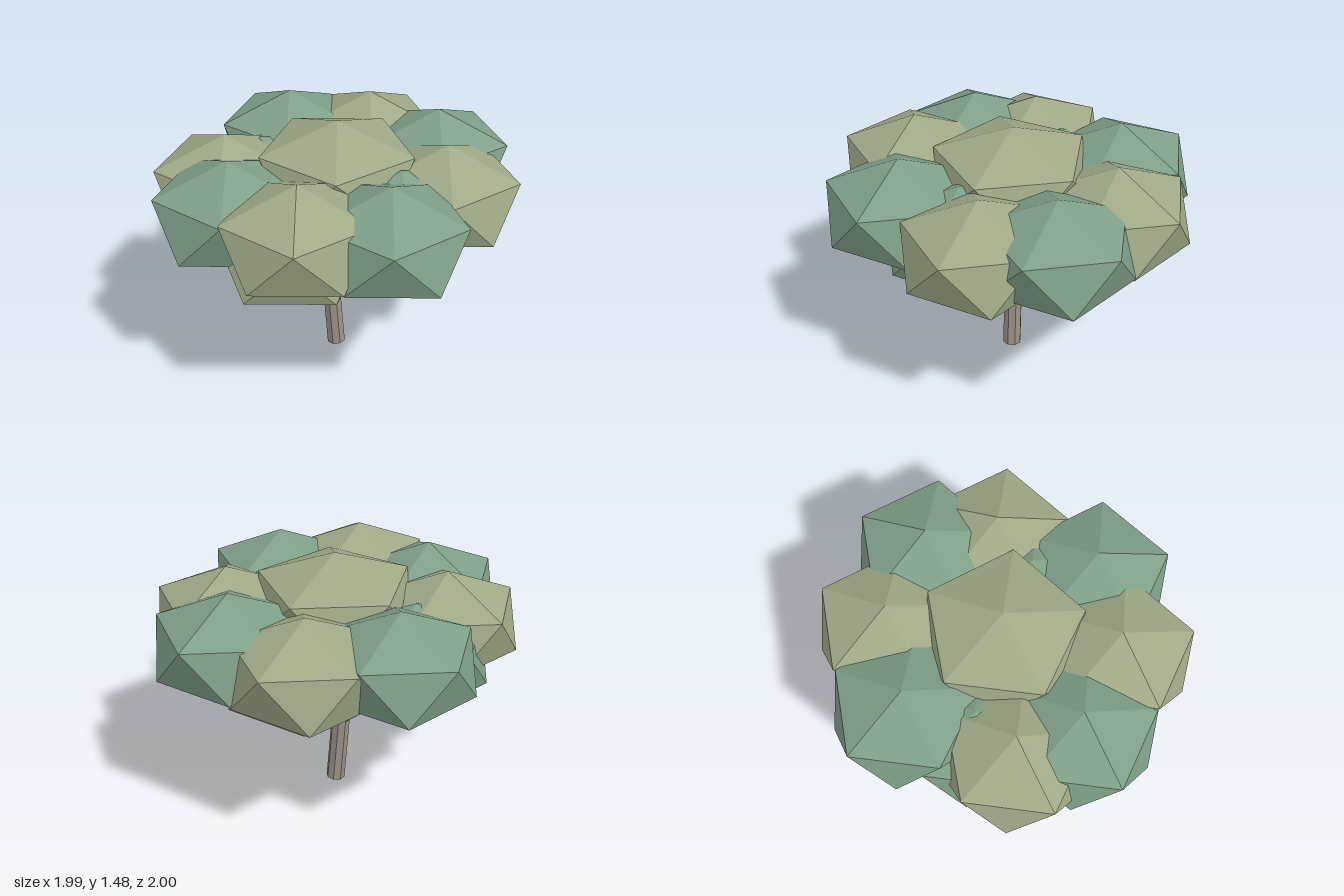
import * as THREE from 'three';

const material = (color) => new THREE.MeshStandardMaterial({ color, flatShading: true });

// Icosahedron standing on a corner, with an upper-ring corner towards +x
function leafGeometry() {
  const g = new THREE.IcosahedronGeometry(1, 0);
  g.rotateX(-Math.atan((1 + Math.sqrt(5)) / 2));
  g.rotateY(Math.PI / 2);
  return g;
}

// Eight-sided tapered limb between two points
function limb(name, from, to, r0, r1, mat) {
  const a = new THREE.Vector3(...from), b = new THREE.Vector3(...to);
  const dir = b.clone().sub(a);
  const mesh = new THREE.Mesh(new THREE.CylinderGeometry(r1, r0, dir.length(), 8), mat);
  mesh.position.copy(a).add(b).multiplyScalar(0.5);
  mesh.quaternion.setFromUnitVectors(new THREE.Vector3(0, 1, 0), dir.normalize());
  mesh.name = name;
  return mesh;
}

export function createModel() {
  const tree = new THREE.Group();
  tree.name = 'tree';
  const bark = material(0x9a9186);
  const olive = material(0x9fa987);
  const green = material(0x7f9f88);

  // Leaning trunk
  tree.add(limb('trunk', [-0.003, 0.004, 0], [-0.035, 0.445, 0.005], 0.056, 0.054, bark));

  // Four branches, each bent once: elbow, then tip
  const branches = [
    ['frontBranch', [0, 0.62, 0.22], [0, 0.78, 0.3]],
    ['backBranch', [-0.03, 0.64, -0.21], [-0.02, 0.8, -0.28]],
    ['rightBranch', [-0.24, 0.61, -0.07], [-0.33, 0.79, -0.04]],
    ['leftBranch', [0.1, 0.66, 0.12], [0.22, 0.8, 0.13]],
  ];
  for (const [name, elbow, tip] of branches) {
    const branch = new THREE.Group();
    branch.name = name;
    branch.add(
      limb('lowerBranch', [-0.032, 0.42, 0.004], elbow, 0.036, 0.034, bark),
      limb('upperBranch', elbow, tip, 0.028, 0.024, bark),
    );
    tree.add(branch);
  }

  // Foliage clumps: x, y, z, material, radius, half height
  const clumps = [
    [0, 1.2, -0.005, olive, 0.49, 0.28],
    [0, 1.115, 0.61, olive],
    [0, 1.09, -0.62, olive],
    [-0.6, 1.07, 0.14, olive],
    [0.59, 1.08, -0.11, olive],
    [-0.45, 1.1, -0.46, green],
    [0.45, 1.105, -0.48, green],
    [-0.44, 1.095, 0.46, green],
    [0.44, 1.095, 0.445, green],
    [-0.09, 0.94, 0.46, olive],
    [0.08, 0.965, -0.44, olive],
    [-0.47, 0.97, -0.09, green],
    [0.4, 1.0, 0.1, green],
  ];
  const leaf = leafGeometry();
  const foliage = new THREE.Group();
  foliage.name = 'foliage';
  clumps.forEach(([x, y, z, mat, r = 0.45, h = 0.3], i) => {
    const clump = new THREE.Mesh(leaf, mat);
    clump.name = `leafClump${i + 1}`;
    clump.position.set(x, y, z);
    clump.scale.set(r, h, r);
    foliage.add(clump);
  });
  tree.add(foliage);
  return tree;
}
